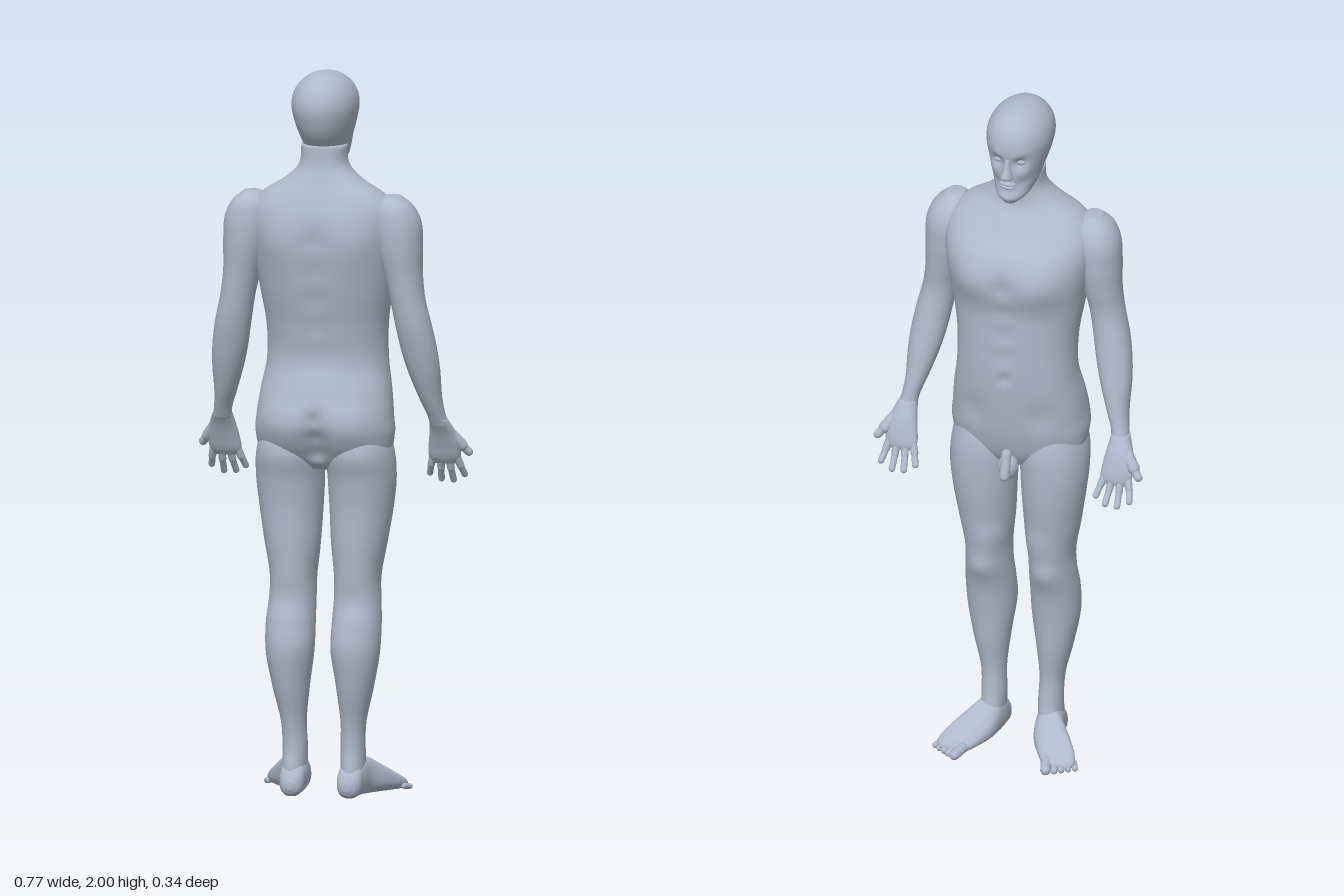
import * as THREE from 'three';

const skin = new THREE.MeshStandardMaterial({ color: 0xadb9ca });
skin.name = 'blue grey';

// Smooth body through cross-sections [y, xMin, xMax, zFront, zBack], listed bottom to top.
// Bumps [x, y, z, radius, amount] push the surface out (or in) around a point.
function loft(rows, { side = 1, n = 2, bumps = [], around = 48, steps = 7 } = {}) {
  const curve = new THREE.CubicInterpolant(rows.map(r => r[0]), rows.flatMap(r => r.slice(1)), 4, new Float32Array(4));
  const pos = [], index = [], rings = [];
  for (let i = 0; i < rows.length - 1; i++) {
    for (let k = 0; k < steps; k++) rings.push(rows[i][0] + (rows[i + 1][0] - rows[i][0]) * k / steps);
  }
  rings.push(rows.at(-1)[0]);
  // the first and last ring repeat, shrunk to a point, to close the ends
  const levels = [rings[0], ...rings, rings.at(-1)];
  levels.forEach((y, j) => {
    const [x0, x1, z0, z1] = curve.evaluate(y);
    const size = j === 0 || j === levels.length - 1 ? 0 : 0.5;
    const cx = side * (x0 + x1) / 2, cz = (z0 + z1) / 2;
    for (let i = 0; i < around; i++) {
      const a = i / around * Math.PI * 2, c = Math.cos(a), s = Math.sin(a);
      const r = size * (Math.abs(c) ** n + Math.abs(s) ** n) ** (-1 / n);
      let x = cx + c * r * (x1 - x0), z = cz + s * r * (z1 - z0), push = 0;
      for (const [bx, by, bz, br, amount] of bumps) {
        const d2 = (x - side * bx) ** 2 + (y - by) ** 2 + (z - bz) ** 2;
        push += amount * Math.exp(-d2 / (br * br));
      }
      if (size) { x += c * push; z += s * push; }
      pos.push(x, y, z);
    }
  });
  for (let j = 0; j < levels.length - 1; j++) {
    for (let i = 0; i < around; i++) {
      const a = j * around + i, b = j * around + (i + 1) % around;
      index.push(a, a + around, b, b, a + around, b + around);
    }
  }
  const geo = new THREE.BufferGeometry();
  geo.setAttribute('position', new THREE.Float32BufferAttribute(pos, 3));
  geo.setIndex(index);
  geo.computeVertexNormals();
  return geo;
}

const symmetric = rows => rows.map(([y, half, front, back]) => [y, -half, half, front, back]);
const pair = (x, ...rest) => [[x, ...rest], [-x, ...rest]];

export function createModel() {
  const model = new THREE.Group();
  const add = (name, geo, parent = model) => {
    const mesh = new THREE.Mesh(geo, skin);
    mesh.name = name;
    parent.add(mesh);
    return mesh;
  };
  // rounded rod between two points
  const rod = (name, from, to, r, parent, side = 1) => {
    const a = new THREE.Vector3(side * from[0], from[1], from[2]);
    const b = new THREE.Vector3(side * to[0], to[1], to[2]);
    const dir = b.clone().sub(a);
    const mesh = add(name, new THREE.CapsuleGeometry(r, dir.length(), 6, 14), parent);
    mesh.position.copy(a).add(b).multiplyScalar(0.5);
    mesh.quaternion.setFromUnitVectors(new THREE.Vector3(0, 1, 0), dir.normalize());
  };
  const ball = (name, [x, y, z], [rx, ry, rz], parent) => {
    const mesh = add(name, new THREE.SphereGeometry(1, 24, 16).scale(rx, ry, rz), parent);
    mesh.position.set(x, y, z);
  };

  // torso and neck, with spine, chest, belly and seat modelling
  const grooves = [1.22, 1.3, 1.38, 1.46, 1.54].map(y => [0, y, 0.15, 0.042, -0.012]);
  const belly = [1.27, 1.34, 1.41].map(y => [0, y, -0.127, 0.026, -0.006]);
  add('torso', loft(symmetric([
    [0.905, 0.1, -0.06, 0.08], [0.94, 0.168, -0.08, 0.122], [1.0, 0.192, -0.098, 0.152],
    [1.05, 0.189, -0.107, 0.16], [1.12, 0.181, -0.115, 0.142], [1.2, 0.168, -0.122, 0.117],
    [1.3, 0.168, -0.124, 0.128], [1.4, 0.183, -0.125, 0.15], [1.5, 0.2, -0.138, 0.163],
    [1.57, 0.208, -0.12, 0.165], [1.63, 0.2, -0.073, 0.152], [1.67, 0.165, -0.042, 0.135],
    [1.7, 0.115, -0.028, 0.12], [1.74, 0.071, -0.025, 0.105], [1.8, 0.062, -0.03, 0.1],
  ]), {
    n: 2.25, around: 80, bumps: [
      ...grooves, ...belly,
      ...pair(0.09, 1.5, -0.13, 0.06, 0.012), [0, 1.49, -0.14, 0.03, -0.01],
      ...pair(0.1, 1.53, 0.15, 0.07, 0.008), ...pair(0.085, 1.02, 0.14, 0.07, 0.012),
      [0, 0.95, 0.14, 0.035, -0.03], [0, 1.0, 0.155, 0.03, -0.025], [0, 1.05, 0.16, 0.025, -0.016],
      [0, 1.2, -0.122, 0.015, -0.01], ...pair(0.1, 1.08, -0.1, 0.04, -0.006),
      ...pair(0.03, 1.66, -0.045, 0.03, 0.006),
    ],
  }));

  // head with eye sockets and cheekbones
  const head = new THREE.Group();
  head.name = 'head';
  model.add(head);
  add('skull', loft(symmetric([
    [1.738, 0.02, -0.085, -0.03], [1.755, 0.042, -0.096, 0.01], [1.78, 0.057, -0.093, 0.07],
    [1.82, 0.069, -0.092, 0.115], [1.87, 0.084, -0.094, 0.14], [1.91, 0.09, -0.096, 0.147],
    [1.95, 0.081, -0.083, 0.134], [1.98, 0.056, -0.053, 0.105], [1.995, 0.028, -0.015, 0.07],
    [2.0, 0.006, 0.02, 0.034],
  ]), {
    n: 2.1, around: 64, bumps: [
      ...pair(0.032, 1.866, -0.085, 0.018, -0.014), ...pair(0.03, 1.888, -0.09, 0.016, 0.004),
      ...pair(0.048, 1.835, -0.07, 0.022, 0.004), ...pair(0.035, 1.8, -0.08, 0.018, -0.005),
      [0, 1.775, -0.093, 0.016, -0.006],
    ],
  }), head);
  add('nose', loft(symmetric([
    [1.816, 0.011, -0.1, -0.08], [1.824, 0.018, -0.117, -0.075], [1.835, 0.015, -0.12, -0.075],
    [1.855, 0.009, -0.107, -0.075], [1.88, 0.008, -0.095, -0.075],
  ]), { around: 24, steps: 4 }), head);
  ball('upperLip', [0, 1.803, -0.09], [0.023, 0.006, 0.012], head);
  ball('lowerLip', [0, 1.792, -0.088], [0.02, 0.006, 0.012], head);
  for (const s of [1, -1]) ball('eye', [s * 0.031, 1.866, -0.068], [0.014, 0.01, 0.012], head);

  // groin, simplified
  const groin = new THREE.Group();
  groin.name = 'groin';
  model.add(groin);
  ball('groinBase', [0, 0.91, -0.085], [0.028, 0.036, 0.03], groin);
  rod('groinFront', [0, 0.955, -0.1], [0, 0.895, -0.118], 0.014, groin);

  for (const side of [1, -1]) {
    const label = side > 0 ? 'left' : 'right';
    const group = name => {
      const g = new THREE.Group();
      g.name = label + name;
      model.add(g);
      return g;
    };

    // leg: thigh, knee, calf, ankle
    const leg = group('Leg');
    add('leg', loft([
      [0.02, 0.055, 0.11, -0.01, 0.098], [0.07, 0.05, 0.115, -0.015, 0.094], [0.13, 0.048, 0.115, -0.005, 0.085],
      [0.2, 0.05, 0.118, 0, 0.09], [0.3, 0.04, 0.14, -0.013, 0.115], [0.4, 0.027, 0.158, -0.022, 0.13],
      [0.48, 0.026, 0.16, -0.035, 0.122], [0.54, 0.028, 0.155, -0.052, 0.11], [0.6, 0.028, 0.153, -0.06, 0.107],
      [0.7, 0.018, 0.17, -0.072, 0.11], [0.8, 0.012, 0.186, -0.085, 0.112], [0.88, 0.008, 0.194, -0.09, 0.122],
      [0.95, 0.008, 0.19, -0.088, 0.138], [1.02, 0.03, 0.17, -0.07, 0.12],
    ], {
      side, n: 2.1, bumps: [
        [0.09, 0.56, -0.055, 0.035, 0.008], [0.06, 0.42, 0.12, 0.05, 0.005],
        [0.06, 0.65, -0.06, 0.04, 0.006], [0.09, 0.55, 0.11, 0.04, -0.006],
      ],
    }), leg);

    // foot runs forward: sections are [forward, xMin, xMax, bottom, top]
    add('foot', loft([
      [-0.108, 0.07, 0.09, 0.02, 0.04], [-0.1, 0.056, 0.105, 0.006, 0.06], [-0.06, 0.046, 0.118, 0, 0.1],
      [-0.01, 0.048, 0.13, 0, 0.11], [0.04, 0.058, 0.165, 0, 0.082], [0.08, 0.08, 0.19, 0, 0.054],
      [0.11, 0.1, 0.197, 0, 0.035], [0.135, 0.112, 0.18, 0.004, 0.026],
    ], { side, n: 2.4 }).rotateX(-Math.PI / 2), leg);
    for (let i = 0; i < 5; i++) {
      const r = i ? 0.0105 - i * 0.0005 : 0.0145;
      const x = 0.12 + i * 0.0165 + (i ? 0.004 : 0), z = -0.12 + i * 0.008;
      rod('toe', [x, r + 0.004, z], [x + 0.011, r, z - 0.036 + i * 0.003], r, leg, side);
    }

    // arm: shoulder, elbow, forearm, wrist
    const arm = group('Arm');
    add('arm', loft([
      [1.02, 0.281, 0.333, -0.06, -0.008], [1.05, 0.277, 0.326, -0.052, 0.008], [1.1, 0.259, 0.32, -0.043, 0.034],
      [1.18, 0.232, 0.32, -0.03, 0.066], [1.24, 0.217, 0.315, -0.019, 0.084], [1.3, 0.206, 0.305, -0.009, 0.098],
      [1.38, 0.192, 0.287, -0.002, 0.108], [1.45, 0.175, 0.279, -0.012, 0.115], [1.53, 0.15, 0.279, -0.022, 0.124],
      [1.6, 0.14, 0.273, -0.02, 0.123], [1.64, 0.15, 0.252, 0, 0.112], [1.666, 0.175, 0.222, 0.03, 0.085],
    ], { side, n: 2.1 }), arm);

    // palm faces forward, thumb outward
    const hand = group('Hand');
    add('palm', loft([
      [0.91, 0.276, 0.34, -0.095, -0.075], [0.925, 0.266, 0.351, -0.097, -0.064], [0.96, 0.267, 0.356, -0.09, -0.048],
      [1.0, 0.274, 0.347, -0.077, -0.028], [1.04, 0.281, 0.329, -0.055, 0],
    ], { side, n: 2.4, around: 32 }), hand);
    const tips = [[0.26, 0.878, -0.108], [0.29, 0.862, -0.118], [0.324, 0.86, -0.118], [0.357, 0.877, -0.112]];
    tips.forEach((tip, i) => {
      const base = [0.276 + i * 0.0225, 0.93, -0.08];
      const mid = base.map((v, k) => (v + tip[k]) / 2 + (k === 2 ? 0.004 : 0));
      rod('finger', base, mid, 0.0105, hand, side);
      rod('fingertip', mid, tip, 0.009, hand, side);
    });
    rod('thumbBase', [0.332, 0.995, -0.055], [0.358, 0.962, -0.075], 0.0165, hand, side);
    rod('thumb', [0.358, 0.962, -0.075], [0.375, 0.943, -0.087], 0.0115, hand, side);
  }
  return model;
}
